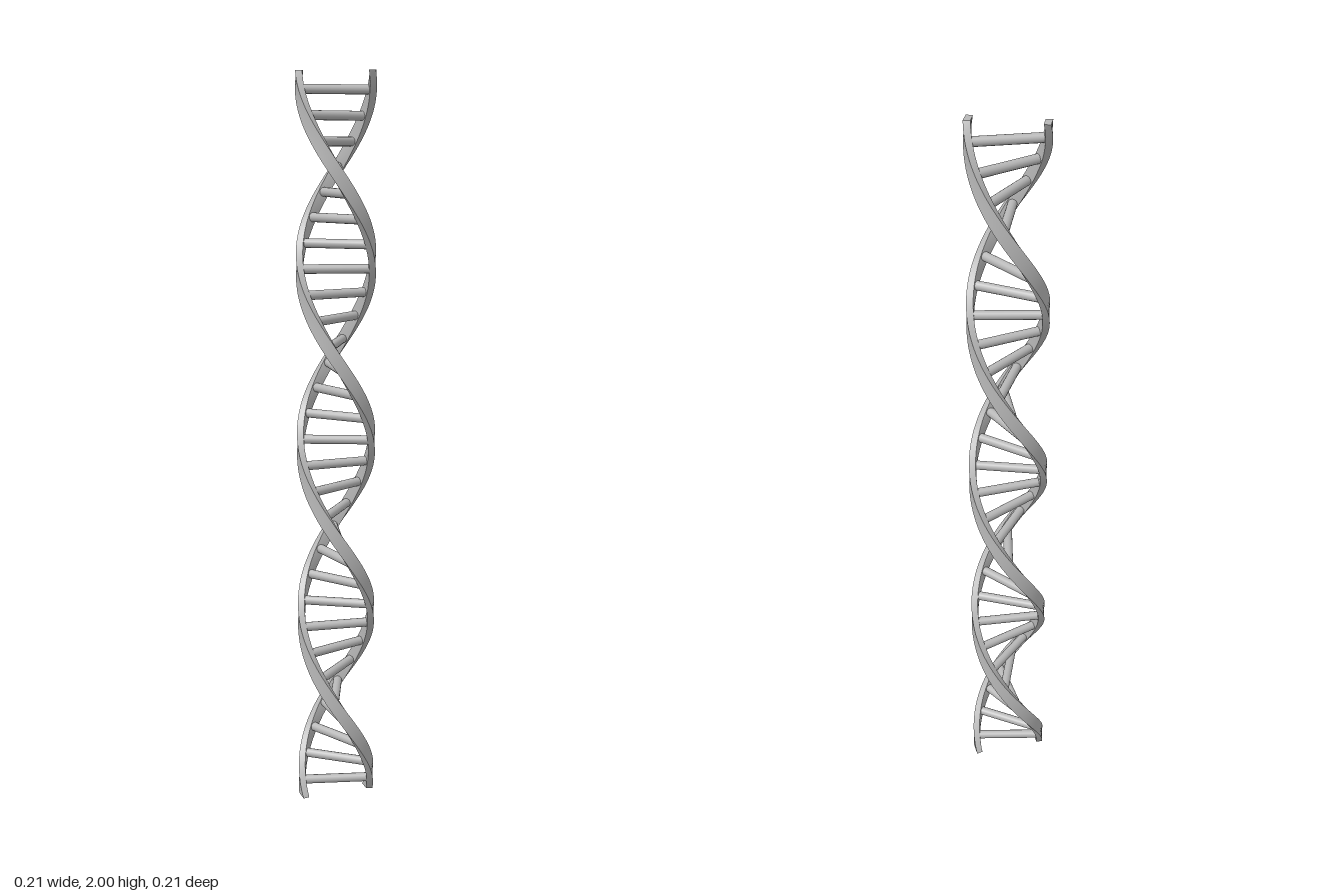
import * as THREE from 'three';

const HEIGHT = 2;
const R_OUT = 0.106, R_IN = 0.088; // radial limits of the strands
const HALF_ANGLE = 0.195;          // half width of a strand around the axis
const RUNGS = 30;

// Helix angle at height y
const twist = (y) => (2 * Math.PI / 0.968) * (y - 1.968);

// Flat-ended rectangular ribbon swept along the helix, crisp along its four edges
function strandGeometry(phase, steps = 192) {
  const corners = [[R_OUT, -1], [R_OUT, 1], [R_IN, 1], [R_IN, -1]];
  const positions = [], index = [];
  const addCorner = (c, y) => {
    const [r, side] = corners[c];
    const t = twist(y) + phase + side * HALF_ANGLE;
    positions.push(r * Math.cos(t), y, r * Math.sin(t));
  };
  // four long sides
  for (let c = 0; c < 4; c++) {
    const base = positions.length / 3;
    for (let i = 0; i <= steps; i++) {
      const y = HEIGHT * i / steps;
      addCorner(c, y);
      addCorner((c + 1) % 4, y);
      if (i < steps) {
        const a = base + i * 2;
        index.push(a, a + 2, a + 1, a + 1, a + 2, a + 3);
      }
    }
  }
  // end caps
  for (const y of [0, HEIGHT]) {
    const b = positions.length / 3;
    for (let c = 0; c < 4; c++) addCorner(c, y);
    if (y === 0) index.push(b, b + 1, b + 2, b, b + 2, b + 3);
    else index.push(b, b + 2, b + 1, b, b + 3, b + 2);
  }
  const geometry = new THREE.BufferGeometry();
  geometry.setAttribute('position', new THREE.Float32BufferAttribute(positions, 3));
  geometry.setIndex(index);
  geometry.computeVertexNormals();
  return geometry;
}

export function createModel() {
  const model = new THREE.Group();
  model.name = 'doubleHelix';
  const grey = new THREE.MeshStandardMaterial({ color: 0xb8b8b8 });
  grey.name = 'light grey';

  // two opposite strands
  ['strandA', 'strandB'].forEach((name, i) => {
    const strand = new THREE.Mesh(strandGeometry(i * Math.PI), grey);
    strand.name = name;
    model.add(strand);
  });

  // rungs joining the strands
  const rungs = new THREE.Group();
  rungs.name = 'rungs';
  const rungGeometry = new THREE.CylinderGeometry(0.0125, 0.0125, 0.184, 16).rotateZ(Math.PI / 2);
  for (let i = 0; i < RUNGS; i++) {
    const y = 0.038 + 0.066 * i;
    const rung = new THREE.Mesh(rungGeometry, grey);
    rung.name = 'rung' + (i + 1);
    rung.position.y = y;
    rung.rotation.y = -twist(y);
    rungs.add(rung);
  }
  model.add(rungs);
  return model;
}
